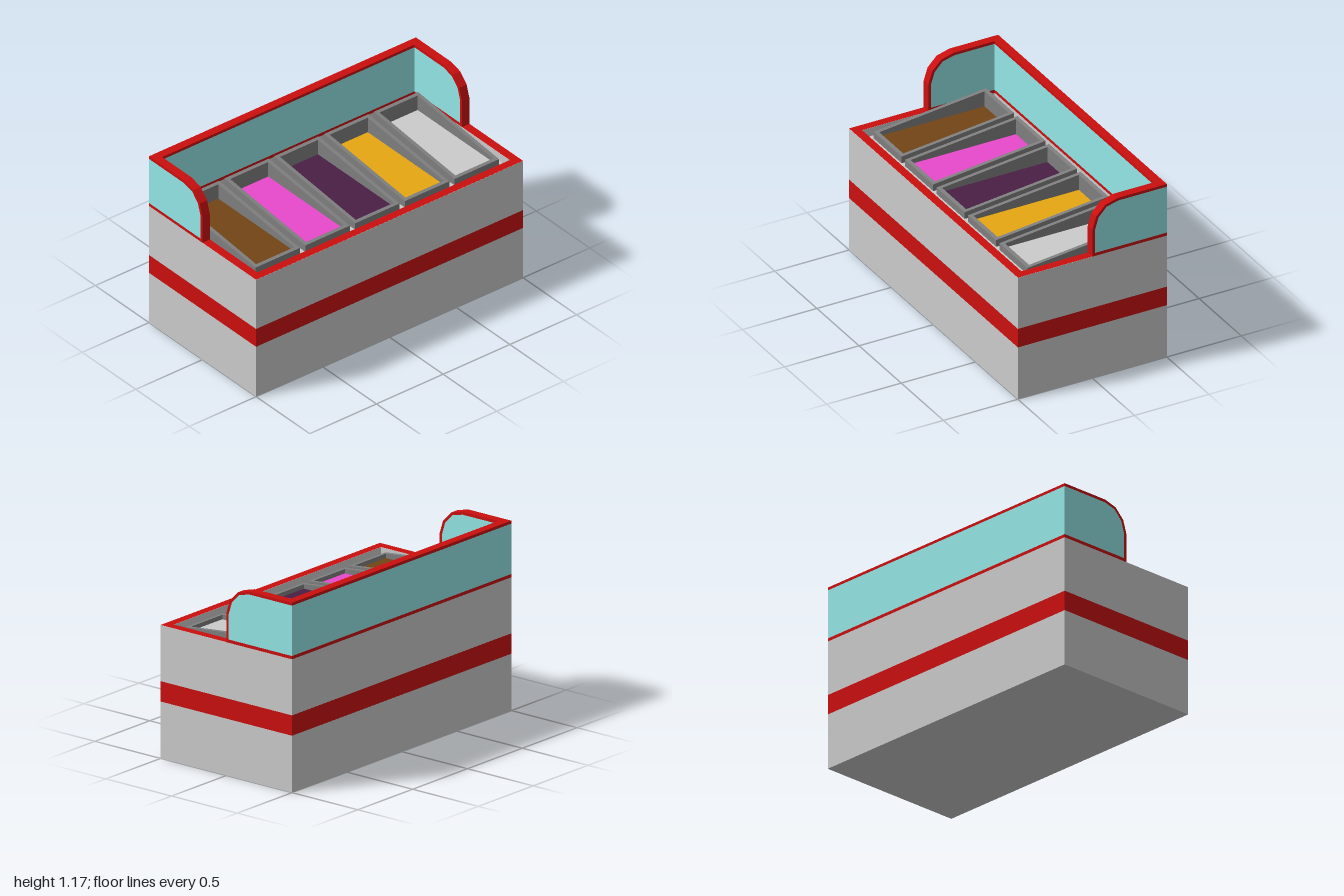
import * as THREE from 'three';

const mat = (color) => new THREE.MeshStandardMaterial({ color, flatShading: true });
const grey = mat(0xcccccc), red = mat(0xcc0f0f), glass = mat(0x95e7e7), trayGrey = mat(0x7f7f7f);

const WALL = 0.055, RIM_Y = 0.82, WELL_Y = 0.765, TOP_Y = 1.168;

function add(parent, name, geometry, material, x = 0, y = 0, z = 0) {
  const mesh = new THREE.Mesh(geometry, material);
  mesh.name = name;
  mesh.position.set(x, y, z);
  parent.add(mesh);
  return mesh;
}

// Box given by its bottom and top heights
function slab(parent, name, material, w, d, y0, y1, z = 0) {
  return add(parent, name, new THREE.BoxGeometry(w, y1 - y0, d), material, 0, (y0 + y1) / 2, z);
}

function rect(w, d, Type = THREE.Shape) {
  return new Type([[-1, -1], [1, -1], [1, 1], [-1, 1]].map(([a, b]) => new THREE.Vector2(a * w / 2, b * d / 2)));
}

// Rectangular outline with a border, lying in the ground plane
function ringShape(w, d, border) {
  const shape = rect(w, d);
  shape.holes.push(rect(w - 2 * border, d - 2 * border, THREE.Path));
  return shape;
}

function ring(w, d, border, height) {
  return new THREE.ExtrudeGeometry(ringShape(w, d, border), { depth: height, bevelEnabled: false }).rotateX(-Math.PI / 2);
}

// Profile of [z, y] points, extruded across x by the wall thickness
function sidePanel(points) {
  const shape = new THREE.Shape(points.map(([z, y]) => new THREE.Vector2(z, y)));
  return new THREE.ExtrudeGeometry(shape, { depth: WALL, bevelEnabled: false }).rotateY(-Math.PI / 2);
}

// Open tray frame whose top edge rises towards the back
function trayFrame(w, d, border, zCentre) {
  const geo = ring(w, d, border, 1);
  const p = geo.attributes.position;
  for (let i = 0; i < p.count; i++) {
    const top = 0.85 - 0.105 * (p.getZ(i) + zCentre);
    p.setY(i, p.getY(i) > 0.5 ? top : WELL_Y);
  }
  geo.computeVertexNormals();
  return geo;
}

export function createModel() {
  const model = new THREE.Group();
  model.name = 'displayCounter';

  // Cabinet with stripe, and a shallow well in the top
  const cabinet = new THREE.Group();
  cabinet.name = 'cabinet';
  model.add(cabinet);
  slab(cabinet, 'lowerCabinet', grey, 2, 1, 0, 0.35);
  slab(cabinet, 'stripe', red, 2, 1, 0.35, 0.475);
  slab(cabinet, 'upperCabinet', grey, 2, 1, 0.475, WELL_Y);
  add(cabinet, 'wellWall', ring(2, 1, WALL, RIM_Y - WELL_Y), grey, 0, WELL_Y, 0);
  const rim = new THREE.ShapeGeometry(ringShape(2, 1, WALL)).rotateX(-Math.PI / 2);
  add(cabinet, 'topRim', rim, red, 0, RIM_Y + 0.001, 0);

  // Wedge trays, each with a coloured filling
  const fillings = [0x734517, 0xe849cc, 0x491f45, 0xe6a712, 0xcccccc];
  const w = 0.333, d = 0.755, border = 0.024, zc = 0.008;
  fillings.forEach((color, i) => {
    const tray = new THREE.Group();
    tray.name = 'tray' + (i + 1);
    tray.position.set((i - 2) * 0.373, 0, zc);
    model.add(tray);
    add(tray, 'trayFrame', trayFrame(w, d, border, zc), trayGrey);
    slab(tray, 'filling', mat(color), w - 2 * border, d - 2 * border, WELL_Y, 0.785);
  });

  // Screen: outer and inner curve of the side frames
  const outer = [[0, RIM_Y], [0, 1], [-0.026, 1.083], [-0.087, 1.145], [-0.17, TOP_Y], [-0.5, TOP_Y]];
  const inner = [[-0.018, 0.84], [-0.018, 0.996], [-0.042, 1.073], [-0.096, 1.13], [-0.175, 1.15], [-0.5, 1.15]];
  const frameOutline = [[-0.5, RIM_Y], ...outer, ...[...inner].reverse(), [-0.5, 0.84]];
  const screen = new THREE.Group();
  screen.name = 'screen';
  model.add(screen);
  for (const [side, x] of [['left', 1], ['right', WALL - 1]]) {
    add(screen, side + 'Frame', sidePanel(frameOutline), red, x);
    add(screen, side + 'Glass', sidePanel([[-0.5, 0.84], ...inner]), glass, x);
  }
  const backW = 2 - 2 * WALL, backZ = -0.5 + WALL / 2;
  slab(screen, 'backBottomRail', red, backW, WALL, RIM_Y, 0.84, backZ);
  slab(screen, 'backGlass', glass, backW, WALL, 0.84, 1.15, backZ);
  slab(screen, 'backTopRail', red, backW, WALL, 1.15, TOP_Y, backZ);
  return model;
}
